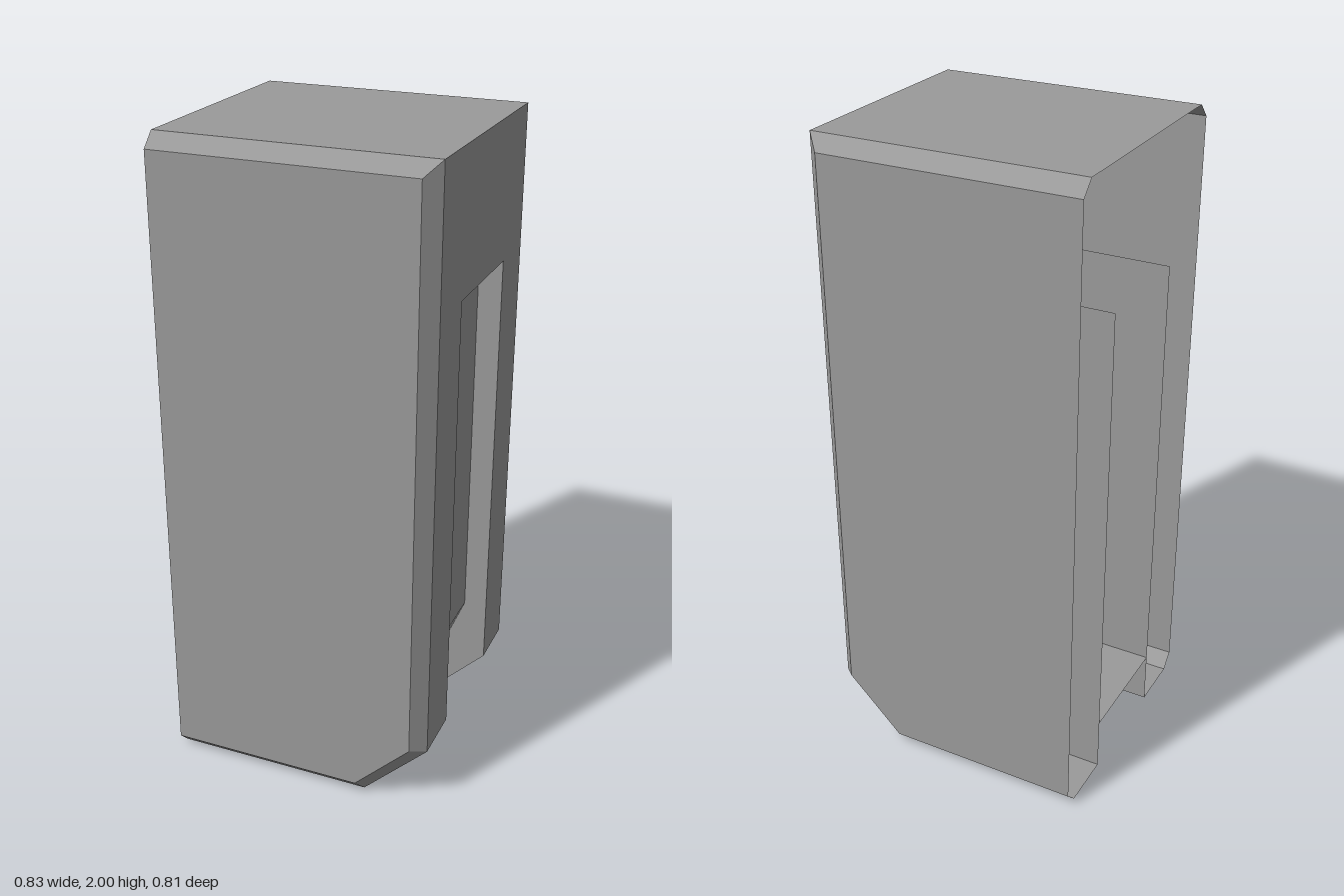
import * as THREE from 'three';

const material = new THREE.MeshStandardMaterial({ color: 0x9a9a9a, side: THREE.DoubleSide });

const OPEN = -0.415, FRONT = 0.413, TOP = 2; // open end, slotted face, top
const Z_FACE = 0.405, Z_BEVEL = 0.362, Z_SLOT = 0.188;
const SLOT_TOP = 1.575, SLOT_X = 0.34, SLOT_Y = 0.17;

// Side outline, from the open end over the top, down and back along the bottom
const outline = [[OPEN, TOP], [FRONT, TOP], [FRONT, 0.2], [0.21, 0], [OPEN, 0]];
const inset = [[OPEN, 1.957], [0.37, 1.957], [0.37, 0.218], [0.195, 0.044], [OPEN, 0.044]];

function add(parent, name, geometry) {
  const mesh = new THREE.Mesh(geometry, material);
  mesh.name = name;
  parent.add(mesh);
}

// Ribbon of quads between path a at depth za and path b at depth zb
function ribbon(a, za, b, zb, smooth = false) {
  const pos = [], index = [];
  a.forEach(([x, y], i) => {
    pos.push(x, y, za, b[i][0], b[i][1], zb);
    if (i) {
      const k = 2 * i;
      index.push(k - 2, k, k + 1, k - 2, k + 1, k - 1);
    }
  });
  let g = new THREE.BufferGeometry();
  g.setAttribute('position', new THREE.Float32BufferAttribute(pos, 3));
  g.setIndex(index);
  if (!smooth) g = g.toNonIndexed();
  g.computeVertexNormals();
  return g;
}

function panel(points, z) {
  const shape = new THREE.Shape(points.map(([x, y]) => new THREE.Vector2(x, y)));
  return new THREE.ShapeGeometry(shape).translate(0, 0, z);
}

// One side of the housing: flat face, bevel, rim beside the slot, slot wall
function createSide(name) {
  const side = new THREE.Group();
  side.name = name;
  add(side, 'sidePanel', panel(inset, Z_FACE));
  add(side, 'bevel', ribbon(inset, Z_FACE, outline, Z_BEVEL));
  add(side, 'rim', ribbon(outline, Z_BEVEL, outline, Z_SLOT));

  // Drawn mirrored in x, then turned around to face the slot
  const wall = [[OPEN, 0], [0.21, 0], [FRONT, 0.2], [FRONT, SLOT_TOP], [OPEN, SLOT_TOP]];
  add(side, 'slotWall', panel(wall.map(([x, y]) => [-x, y]), -Z_SLOT).rotateY(Math.PI));
  return side;
}

export function createModel() {
  const model = new THREE.Group();
  model.name = 'slottedHousing';

  model.add(createSide('frontSide'));
  const back = createSide('backSide');
  back.scale.z = -1;
  model.add(back);

  // Middle strip of the top and of the face above the slot
  const cap = [[OPEN, TOP], [FRONT, TOP], [FRONT, SLOT_TOP]];
  add(model, 'topStrip', ribbon(cap, Z_SLOT, cap, -Z_SLOT));

  // Small ceiling of the slot
  const ceiling = [[FRONT, SLOT_TOP], [SLOT_X, SLOT_TOP]];
  add(model, 'slotCeiling', ribbon(ceiling, Z_SLOT, ceiling, -Z_SLOT));

  // Recessed slot floor: straight down, faceted bend, then out to the open end
  const floor = [
    [SLOT_X, SLOT_TOP], [SLOT_X, 0.39], [0.295, 0.28],
    [0.23, 0.215], [0.12, SLOT_Y], [OPEN, SLOT_Y],
  ];
  add(model, 'slotFloor', ribbon(floor, Z_SLOT, floor, -Z_SLOT, true));

  return model;
}
